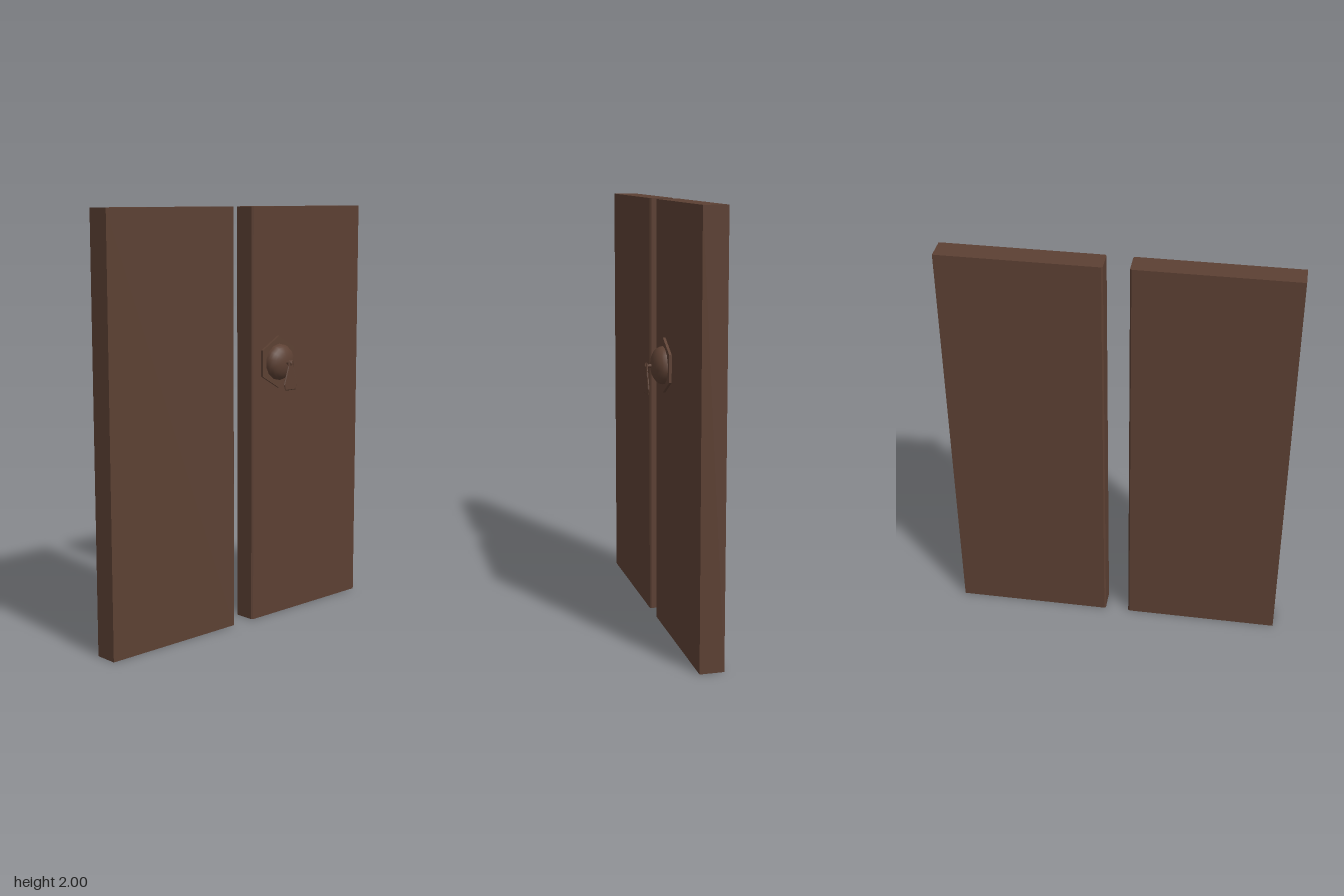
import * as THREE from 'three';

export function createModel() {
  const group = new THREE.Group();
  const brown = new THREE.MeshStandardMaterial({ color: 0x5c4033 });
  brown.name = 'dark brown';

  const add = (name, geometry, parent = group) => {
    const mesh = new THREE.Mesh(geometry, brown);
    mesh.name = name;
    parent.add(mesh);
    return mesh;
  };
  const polygon = (points) => new THREE.Shape(points.map(([x, y]) => new THREE.Vector2(x, y)));

  // Two door leaves, chamfered along the edges where they meet
  const back = -0.106, front = 0.006, inner = 0.058, outer = 0.8, c = 0.007;
  for (const side of [-1, 1]) {
    const plan = [
      [outer, back], [inner + c, back], [inner, back + c],
      [inner, front - c], [inner + c, front], [outer, front],
    ].map(([x, z]) => [side * x, -z]);
    const leaf = new THREE.ExtrudeGeometry(polygon(plan), { depth: 2, bevelEnabled: false });
    leaf.rotateX(-Math.PI / 2);
    add(side > 0 ? 'leftDoor' : 'rightDoor', leaf);
  }

  // Handle on the left leaf
  const handle = new THREE.Group();
  handle.name = 'handle';
  handle.position.set(0.225, 1.26, front);
  group.add(handle);

  // Hexagonal back plate with a point at the top
  const hex = Array.from({ length: 6 }, (_, i) => {
    const a = Math.PI / 6 + i * Math.PI / 3;
    return [0.126 * Math.cos(a), 0.126 * Math.sin(a)];
  });
  add('backPlate', new THREE.ExtrudeGeometry(polygon(hex), { depth: 0.012, bevelEnabled: false }), handle);

  // Rounded dome
  const profile = [];
  for (let i = 0; i <= 8; i++) {
    const a = (i / 8) * Math.PI / 2;
    profile.push(new THREE.Vector2(0.088 * Math.cos(a), 0.012 + 0.056 * Math.sin(a)));
  }
  add('dome', new THREE.LatheGeometry(profile, 14).rotateX(Math.PI / 2), handle);

  // Stem and its end knob
  const stem = add('stem', new THREE.CylinderGeometry(0.006, 0.008, 0.036, 8).rotateX(Math.PI / 2), handle);
  stem.position.z = 0.078;
  const knob = add('knob', new THREE.SphereGeometry(0.012, 10, 8).scale(0.7, 1, 0.7), handle);
  knob.position.z = 0.09;

  // Flared hanging pull
  const outline = [
    [-0.012, 0.012], [-0.015, -0.015], [-0.043, -0.1], [-0.032, -0.127],
    [0.032, -0.127], [0.043, -0.1], [0.015, -0.015], [0.012, 0.012],
  ];
  const pull = new THREE.ExtrudeGeometry(polygon(outline), {
    depth: 0.002, bevelThickness: 0.003, bevelSize: 0.004, bevelSegments: 1,
    bevelOffset: -0.002,
  });
  add('pull', pull, handle).position.z = 0.088;

  return group;
}
